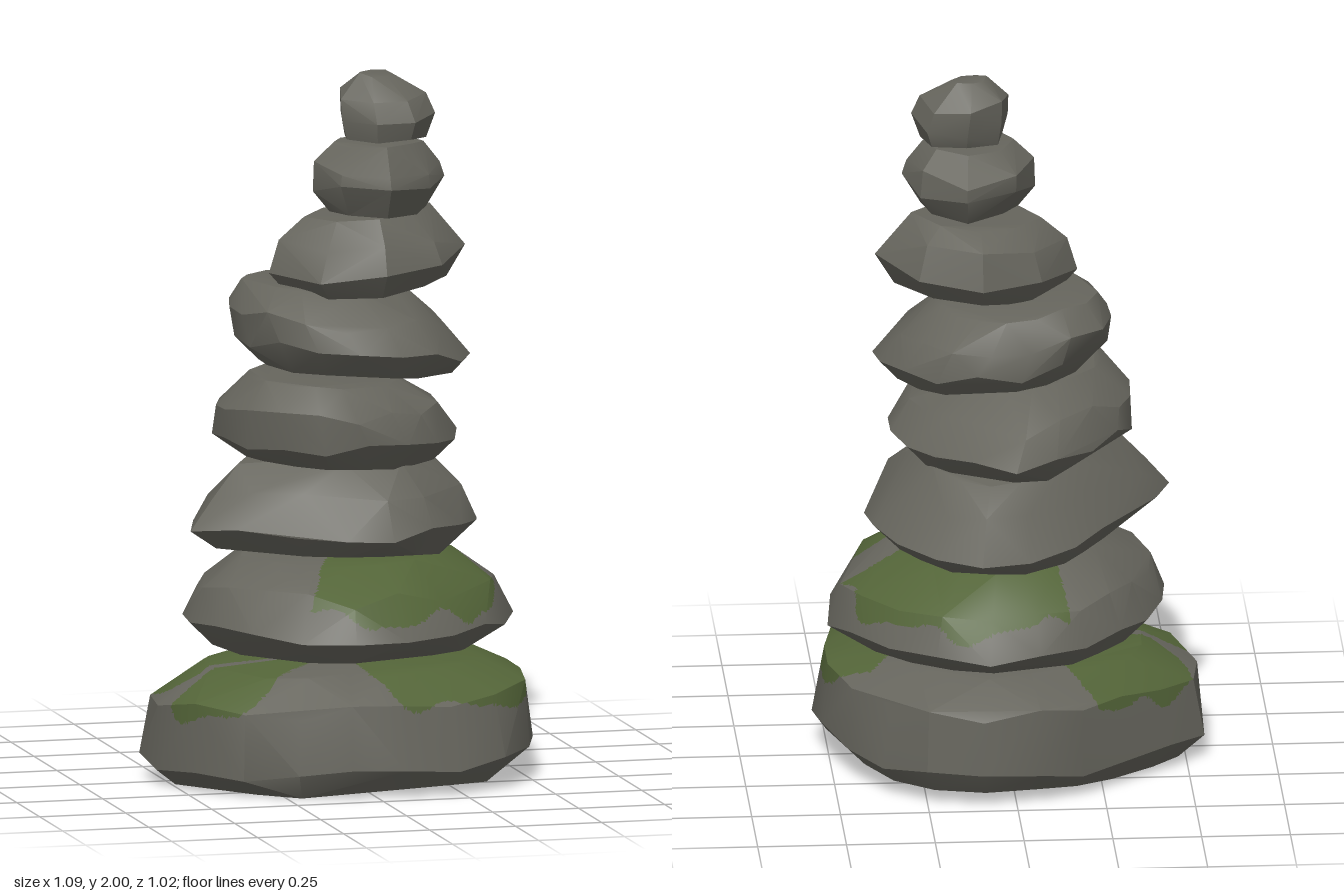
import * as THREE from 'three';
import { toCreasedNormals } from 'three/addons/utils/BufferGeometryUtils.js';
import { ConvexGeometry } from 'three/addons/geometries/ConvexGeometry.js';

const stone = new THREE.MeshStandardMaterial({ color: 0x66655d });
stone.name = 'greyStone';
const moss = new THREE.MeshStandardMaterial({ color: 0x536438 });
moss.name = 'mossGreen';

const { degToRad, lerp, clamp } = THREE.MathUtils;

function seeded(seed) {
  let s = seed * 7919 + 13;
  return () => {
    s = (s * 16807) % 2147483647;
    return s / 2147483647 - 0.5;
  };
}

// Chiselled boulder: the hull of four jittered rings (foot, belly, shoulder, crown).
// radii are spread evenly round the belly, starting at the angle turn (from +x towards +z);
// detail is the number of rounded-off points per radius.
function stoneGeometry({
  seed, radii, turn = 0, centre = [0, 0], bottom, top, tilt = [0, 0], lean = [0, 0], detail = 2,
  taper = [0.8, 1, 0.89, 0.62], levels = [0.06, 0.3, 0.65, 0.96],
}) {
  const rand = seeded(seed);
  const corners = radii.map((r, i) => {
    const angle = degToRad(turn + (i * 360) / radii.length);
    return new THREE.Vector3(r * Math.cos(angle), 0, r * Math.sin(angle));
  });
  const outline = new THREE.CatmullRomCurve3(corners, true).getPoints(radii.length * detail).slice(1);
  const points = [];
  taper.forEach((scale, ring) => {
    const shift = Math.max(0, ring - 1) / 2;
    const rough = ring === 0 || ring === 3 ? 0.018 : 0.04;
    outline.forEach((p) => {
      const k = scale === 1 ? 1 : scale + rand() * 0.09;
      const x = p.x * k;
      const z = p.z * k;
      const y = lerp(bottom, top, levels[ring]) + (tilt[0] * x + tilt[1] * z) * scale + rand() * rough;
      points.push(new THREE.Vector3(
        centre[0] + x + lean[0] * shift, clamp(y, 0, 2), centre[1] + z + lean[1] * shift));
    });
  });
  return toCreasedNormals(new ConvexGeometry(points), 0.5);
}

// Moss grows above a wavy line inside each patch: { at, half } in degrees, low as height
function isMossy(p, patches) {
  const angle = Math.atan2(p.z, p.x);
  const wave = 0.018 * Math.sin(angle * 9 + p.y * 20) + 0.01 * Math.sin(angle * 17 + 1);
  return patches.some(({ at, half, low }) => {
    const turn = angle - degToRad(at);
    const d = Math.atan2(Math.sin(turn), Math.cos(turn)) / degToRad(half);
    return Math.abs(d) < 1 + wave * 4 && p.y > low + 0.05 * d ** 4 + wave;
  });
}

// Splits faces finely, then sorts them into a stone group and a moss group
function addMoss(geometry, patches) {
  const { position, normal } = geometry.attributes;
  const lowest = Math.min(...patches.map((patch) => patch.low)) - 0.05;
  const bins = [[], []];
  const corner = (i) => ({
    p: new THREE.Vector3().fromBufferAttribute(position, i),
    n: new THREE.Vector3().fromBufferAttribute(normal, i),
  });
  const split = (a, b, c) => {
    const ab = a.p.distanceTo(b.p);
    const bc = b.p.distanceTo(c.p);
    const ca = c.p.distanceTo(a.p);
    const longest = Math.max(ab, bc, ca);
    const high = Math.max(a.p.y, b.p.y, c.p.y) > lowest;
    if (!high || longest < 0.016) {
      const mid = a.p.clone().add(b.p).add(c.p).divideScalar(3);
      bins[high && isMossy(mid, patches) ? 1 : 0].push(a, b, c);
    } else if (ab === longest) {
      const m = { p: a.p.clone().lerp(b.p, 0.5), n: a.n.clone().lerp(b.n, 0.5).normalize() };
      split(a, m, c);
      split(m, b, c);
    } else if (bc === longest) split(b, c, a);
    else split(c, a, b);
  };
  for (let i = 0; i < position.count; i += 3) split(corner(i), corner(i + 1), corner(i + 2));

  const all = bins.flat();
  const out = new THREE.BufferGeometry();
  out.setAttribute('position', new THREE.Float32BufferAttribute(all.flatMap((v) => v.p.toArray()), 3));
  out.setAttribute('normal', new THREE.Float32BufferAttribute(all.flatMap((v) => v.n.toArray()), 3));
  out.addGroup(0, bins[0].length, 0);
  out.addGroup(bins[0].length, bins[1].length, 1);
  return out;
}

export function createModel() {
  const group = new THREE.Group();
  group.name = 'stoneCairn';

  const addStone = (name, { patches, ...shape }) => {
    const geometry = stoneGeometry({ seed: group.children.length + 1, ...shape });
    const mesh = patches
      ? new THREE.Mesh(addMoss(geometry, patches), [stone, moss])
      : new THREE.Mesh(geometry, stone);
    mesh.name = name;
    group.add(mesh);
  };

  // Broad mossy base
  addStone('baseStone', {
    radii: [0.55, 0.55, 0.49, 0.475, 0.53, 0.56, 0.44, 0.48, 0.54, 0.51],
    turn: 10, bottom: 0, top: 0.36, tilt: [0.04, -0.02],
    taper: [0.89, 1, 0.96, 0.72], levels: [0.06, 0.23, 0.72, 0.94],
    patches: [
      { at: 208, half: 31, low: 0.22 },
      { at: 151, half: 17, low: 0.21 },
      { at: 31, half: 54, low: 0.24 },
    ],
  });
  addStone('secondStone', {
    radii: [0.515, 0.48, 0.49, 0.52, 0.475, 0.455, 0.43, 0.44, 0.485, 0.5],
    turn: -9, bottom: 0.36, top: 0.65, tilt: [-0.02, 0.03],
    patches: [
      { at: 64, half: 53, low: 0.5 },
      { at: -62, half: 54, low: 0.5 },
    ],
  });

  // Flat middle stones
  addStone('thirdStone', {
    radii: [0.4, 0.39, 0.41, 0.38, 0.493, 0.35, 0.37, 0.46, 0.41],
    turn: 2, bottom: 0.64, top: 0.92, tilt: [-0.03, 0.03], taper: [0.8, 1, 0.87, 0.64],
  });
  addStone('fourthStone', {
    radii: [0.34, 0.35, 0.37, 0.36, 0.355, 0.35, 0.45, 0.34, 0.335],
    turn: 30, bottom: 0.9, top: 1.16, tilt: [-0.03, -0.02], lean: [-0.06, 0.06],
  });
  addStone('fifthStone', {
    radii: [0.33, 0.31, 0.3, 0.32, 0.335, 0.33, 0.305, 0.31],
    turn: 10, centre: [0.05, -0.02], bottom: 1.145, top: 1.395, tilt: [-0.1, 0], lean: [-0.07, -0.05],
    taper: [0.8, 1, 0.94, 0.67],
  });
  addStone('sixthStone', {
    radii: [0.29, 0.25, 0.24, 0.25, 0.28, 0.24, 0.24, 0.25],
    centre: [0.08, 0], bottom: 1.38, top: 1.61, tilt: [0.1, -0.06], taper: [0.78, 1, 0.87, 0.62],
    detail: 1,
  });

  // Small stones at the top
  addStone('seventhStone', {
    radii: [0.19, 0.18, 0.225, 0.18, 0.185, 0.19, 0.215, 0.19],
    turn: 5, centre: [0.1, 0.06], bottom: 1.6, top: 1.82, tilt: [0, 0.02], detail: 1,
    taper: [0.75, 1, 0.97, 0.66], levels: [0.06, 0.38, 0.64, 0.95],
  });
  addStone('capStone', {
    radii: [0.145, 0.13, 0.13, 0.135, 0.13, 0.125, 0.14],
    turn: 10, centre: [0.12, 0.05], bottom: 1.8, top: 2, tilt: [-0.05, 0], detail: 1,
    taper: [0.86, 1, 0.9, 0.35], levels: [0.08, 0.35, 0.66, 0.99], lean: [-0.02, -0.02],
  });
  return group;
}
